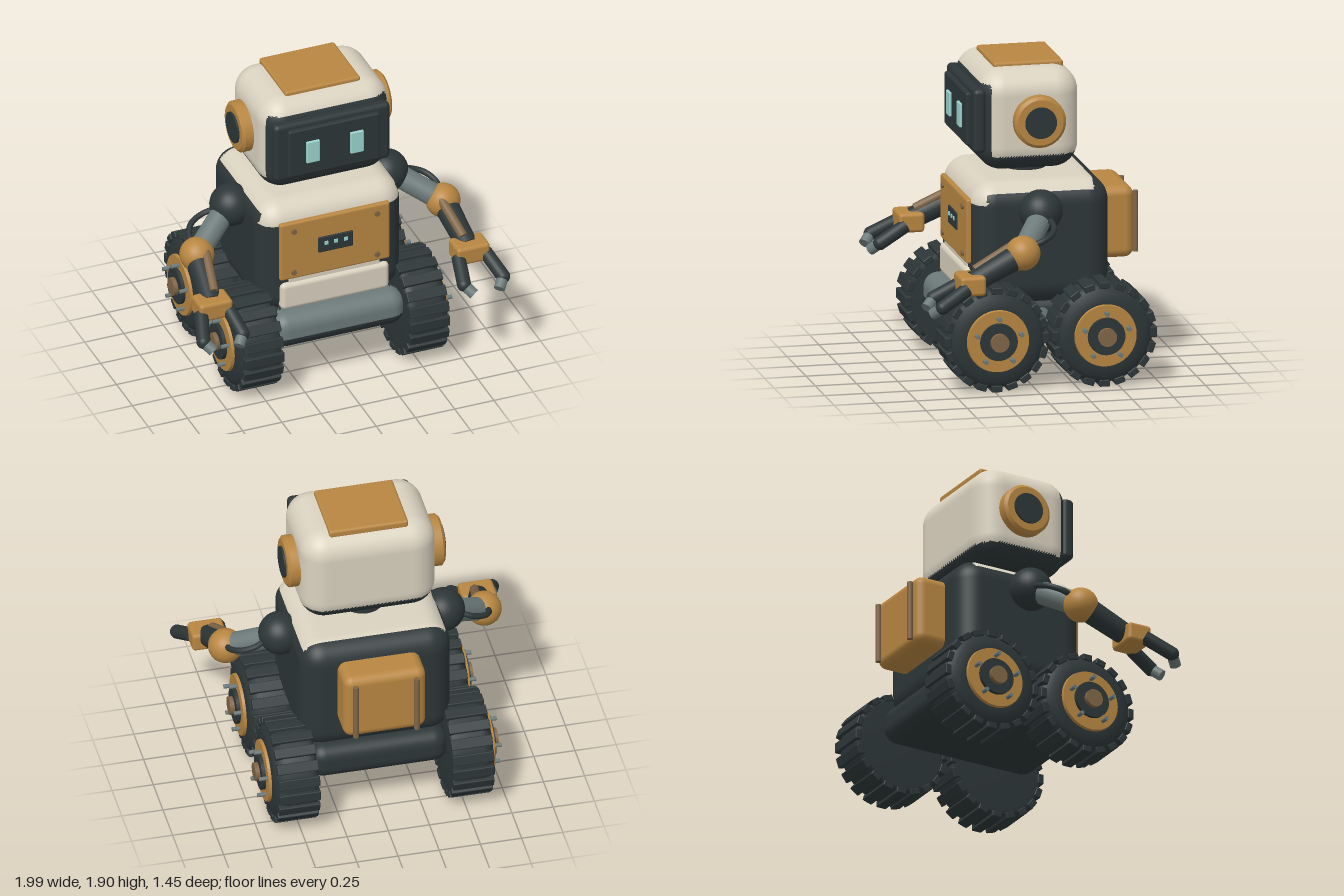
import * as THREE from 'three';
import { RoundedBoxGeometry } from 'three/addons/geometries/RoundedBoxGeometry.js';

const mat = (name, color) => Object.assign(new THREE.MeshStandardMaterial({ color }), { name });
const dark = mat('charcoal', 0x2d3638);
const light = mat('cream', 0xdad2c0);
const ochre = mat('ochre', 0xb88641);
const brown = mat('bronze', 0x806546);
const grey = mat('steel', 0x6c7a79);
const cyan = mat('glow', 0x9ad4ce);

const V = (x, y, z) => new THREE.Vector3(x, y, z);

function add(parent, name, geo, material, x = 0, y = 0, z = 0) {
  const mesh = new THREE.Mesh(geo, material);
  mesh.name = name;
  mesh.position.set(x, y, z);
  parent.add(mesh);
  return mesh;
}

// Rounded box given by its minimum and maximum corners
function block(parent, name, material, a, b, r = 0.01) {
  const s = b.map((v, i) => v - a[i]);
  const c = b.map((v, i) => (v + a[i]) / 2);
  return add(parent, name, new RoundedBoxGeometry(...s, 3, r), material, ...c);
}

// Cylinder running between two points
function rod(parent, name, material, a, b, r0, r1 = r0, sides = 24) {
  const d = b.clone().sub(a);
  const mesh = add(parent, name, new THREE.CylinderGeometry(r1, r0, d.length(), sides), material);
  mesh.position.copy(a).add(b).multiplyScalar(0.5);
  mesh.quaternion.setFromUnitVectors(V(0, 1, 0), d.normalize());
  return mesh;
}

const ball = (parent, name, material, p, r) =>
  add(parent, name, new THREE.SphereGeometry(r, 28, 18), material, p.x, p.y, p.z);

// Finely divided rounded shell with two colours chosen by position
function twoToneShell(parent, name, a, b, r, first, second, isSecond) {
  const s = b.map((v, i) => v - a[i]);
  const c = b.map((v, i) => (v + a[i]) / 2);
  const geo = new THREE.BoxGeometry(...s, 36, 36, 36);
  const pos = geo.attributes.position, nor = geo.attributes.normal;
  const inner = V(...s).multiplyScalar(0.5).subScalar(r);
  const p = V(0, 0, 0), q = V(0, 0, 0);
  for (let i = 0; i < pos.count; i++) {
    p.fromBufferAttribute(pos, i);
    q.copy(p).clamp(inner.clone().negate(), inner);
    p.sub(q).normalize();
    nor.setXYZ(i, p.x, p.y, p.z);
    q.addScaledVector(p, r);
    pos.setXYZ(i, q.x, q.y, q.z);
  }
  // Sort the triangles into one run for each colour
  const idx = geo.index.array, runs = [[], []];
  for (let i = 0; i < idx.length; i += 3) {
    q.set(0, 0, 0);
    for (let k = 0; k < 3; k++) q.add(p.fromBufferAttribute(pos, idx[i + k]));
    q.divideScalar(3).add(V(...c));
    runs[isSecond(q) ? 1 : 0].push(idx[i], idx[i + 1], idx[i + 2]);
  }
  geo.setIndex([...runs[0], ...runs[1]]);
  geo.clearGroups();
  geo.addGroup(0, runs[0].length, 0);
  geo.addGroup(runs[0].length, runs[1].length, 1);
  return add(parent, name, geo, [first, second], ...c);
}

function group(parent, name) {
  const g = new THREE.Group();
  g.name = name;
  parent.add(g);
  return g;
}

function buildWheel(parent, s, z) {
  const wheel = group(parent, 'wheel');
  wheel.position.set(0, 0.318, z);
  const disc = (name, material, x0, x1, r0, r1 = r0) =>
    rod(wheel, name, material, V(s * x0, 0, 0), V(s * x1, 0, 0), r0, r1, 40);
  // Tyre: flat inside, rounded shoulder outside
  const profile = [[0, 0.405], [0.27, 0.405], [0.297, 0.42], [0.3, 0.46], [0.3, 0.6],
    [0.288, 0.635], [0.25, 0.662], [0.19, 0.67], [0, 0.67]].map(([r, h]) => new THREE.Vector2(r, h));
  add(wheel, 'tyre', new THREE.LatheGeometry(profile, 48), dark).rotation.z = -s * Math.PI / 2;
  // Treads
  const n = 20;
  for (let i = 0; i < n; i++) {
    const t = i / n * Math.PI * 2;
    const tread = block(wheel, 'tread', dark, [-0.125, -0.02, -0.032], [0.125, 0.02, 0.032], 0.006);
    tread.position.set(s * 0.528, Math.cos(t) * 0.297, Math.sin(t) * 0.297);
    tread.rotation.x = t;
  }
  disc('rim', ochre, 0.64, 0.688, 0.195, 0.185);
  disc('hub', dark, 0.64, 0.71, 0.112);
  disc('hubCap', brown, 0.66, 0.737, 0.055);
  for (let i = 0; i < 5; i++) {
    const t = i / 5 * Math.PI * 2, y = Math.cos(t) * 0.14, zz = Math.sin(t) * 0.14;
    rod(wheel, 'wheelBolt', grey, V(s * 0.68, y, zz), V(s * 0.735, y, zz), 0.013, 0.013, 10);
  }
}

function buildArm(parent, s) {
  const arm = group(parent, s > 0 ? 'leftArm' : 'rightArm');
  const P = (x, y, z) => V(s * x, y, z);
  const elbow = P(0.785, 0.873, 0.115);
  ball(arm, 'shoulder', dark, P(0.495, 1.05, -0.06), 0.13);
  rod(arm, 'upperArm', grey, P(0.54, 1.025, -0.05), elbow, 0.07);
  ball(arm, 'elbow', ochre, elbow, 0.104);
  rod(arm, 'forearm', dark, elbow, P(0.818, 0.725, 0.42), 0.075, 0.065);
  rod(arm, 'forearmPiston', brown, P(0.752, 0.915, 0.17), P(0.795, 0.79, 0.41), 0.028);
  const cable = new THREE.CatmullRomCurve3([P(0.58, 1.03, -0.08), P(0.66, 1.0, -0.1),
    P(0.74, 0.97, -0.075), P(0.785, 0.94, -0.01), P(0.79, 0.91, 0.07)]);
  add(arm, 'armCable', new THREE.TubeGeometry(cable, 24, 0.018, 10), dark);
  const palm = block(arm, 'palm', ochre, [0.715, 0.657, 0.365], [0.925, 0.775, 0.52], 0.022);
  palm.position.x *= s;
  // Two fingers with bent tips
  const fingers = [[P(0.735, 0.7, 0.48), P(0.706, 0.61, 0.64), P(0.75, 0.562, 0.69)],
    [P(0.905, 0.7, 0.48), P(0.955, 0.61, 0.64), P(0.91, 0.562, 0.69)]];
  for (const [base, bend, tip] of fingers) {
    rod(arm, 'finger', dark, base, bend, 0.042);
    ball(arm, 'fingerJoint', dark, bend, 0.042);
    rod(arm, 'fingerTip', grey, bend, tip, 0.034);
  }
}

export function createModel() {
  const model = new THREE.Group();
  model.name = 'robot';

  // Chassis with a steel front bumper
  twoToneShell(model, 'chassis', [-0.42, 0.285, -0.56], [0.42, 0.51, 0.46], 0.09, dark, grey,
    p => p.z > 0.33 && p.y > 0.365);
  for (const s of [1, -1]) {
    rod(model, 'axleLink', grey, V(s * 0.3, 0.4, -0.085), V(s * 0.44, 0.4, -0.085), 0.045);
    for (const z of [0.24, -0.412]) buildWheel(model, s, z);
  }

  // Torso with a cream yoke
  twoToneShell(model, 'torso', [-0.46, 0.46, -0.5], [0.46, 1.212, 0.335], 0.14, dark, light,
    p => p.z > -0.4 && (p.y > 1.15 || (p.z > 0.25 && p.y > 1.08)));
  block(model, 'chestPanel', ochre, [-0.35, 0.715, 0.3], [0.35, 1.108, 0.357], 0.015);
  for (const x of [-0.265, 0.265]) for (const y of [0.765, 1.05])
    rod(model, 'chestBolt', brown, V(x, y, 0.35), V(x, y, 0.37), 0.017, 0.017, 14);
  block(model, 'indicatorPlate', dark, [-0.11, 0.865, 0.35], [0.11, 0.97, 0.366], 0.006);
  for (const x of [-0.062, 0, 0.062])
    add(model, 'indicatorLight', new THREE.BoxGeometry(0.023, 0.023, 0.008), cyan, x, 0.928, 0.368);
  block(model, 'beltPlate', light, [-0.29, 0.66, 0.3], [0.29, 0.74, 0.345], 0.01);
  block(model, 'bellyPanel', light, [-0.345, 0.51, 0.27], [0.345, 0.69, 0.365], 0.03);

  // Backpack
  block(model, 'backpack', ochre, [-0.25, 0.675, -0.685], [0.25, 1.11, -0.45], 0.055);
  for (const x of [-0.185, 0.185])
    rod(model, 'backpackRail', brown, V(x, 0.7, -0.703), V(x, 1.07, -0.703), 0.017);

  for (const s of [1, -1]) buildArm(model, s);

  // Neck and head
  rod(model, 'neck', dark, V(0, 1.17, -0.075), V(0, 1.34, -0.075), 0.125, 0.125, 32);
  twoToneShell(model, 'head', [-0.41, 1.268, -0.33], [0.41, 1.88, 0.28], 0.15, light, dark,
    p => p.y < 1.365 || (p.z > 0.21 && p.y < 1.8));
  block(model, 'crownPlate', ochre, [-0.24, 1.85, -0.255], [0.24, 1.902, 0.165], 0.016);
  block(model, 'faceFrame', dark, [-0.37, 1.385, 0.24], [0.37, 1.775, 0.318], 0.03);
  block(model, 'faceScreen', dark, [-0.29, 1.42, 0.29], [0.29, 1.74, 0.346], 0.012);
  for (const s of [1, -1]) {
    block(model, 'eye', cyan, [s * 0.14 - 0.042, 1.506, 0.34], [s * 0.14 + 0.042, 1.652, 0.361], 0.006);
    // Ear: bevelled disc with a dark centre
    const E = x => V(s * x, 1.582, -0.065);
    rod(model, 'ear', ochre, E(0.36), E(0.462), 0.156, 0.156, 40);
    rod(model, 'earBevel', ochre, E(0.462), E(0.478), 0.156, 0.138, 40);
    rod(model, 'earCentre', dark, E(0.45), E(0.49), 0.095, 0.095, 32);
  }
  return model;
}
